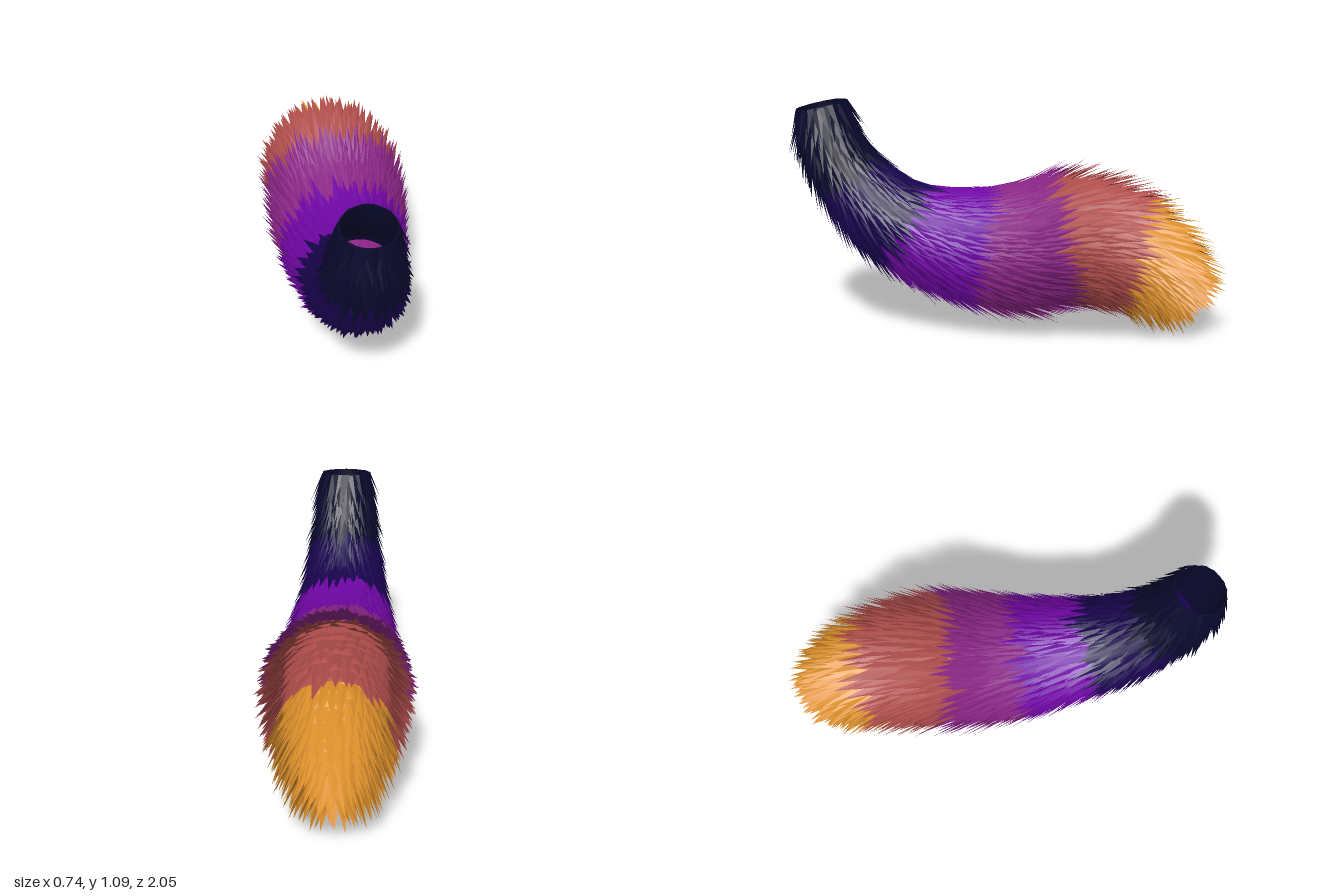
import * as THREE from 'three';

// Colour bands from the open root to the tip; end = fraction along the tail
const BANDS = [
  { name: 'navyRoot', end: 0.137, color: 0x07082b },
  { name: 'indigoBand', end: 0.295, color: 0x18034c },
  { name: 'purpleBand', end: 0.462, color: 0x7006a5 },
  { name: 'plumBand', end: 0.63, color: 0x8a2586 },
  { name: 'roseBand', end: 0.785, color: 0xae4d4b },
  { name: 'goldTip', end: 1, color: 0xda8e2a },
];

// Centre line: x holds the core radius, y and z the position
const SPINE = new THREE.CatmullRomCurve3([
  [0.115, 1.075, 0.882], [0.127, 0.95, 0.858], [0.145, 0.8, 0.795], [0.185, 0.57, 0.6],
  [0.235, 0.435, 0.3], [0.272, 0.405, 0], [0.27, 0.445, -0.28], [0.23, 0.41, -0.53],
  [0.175, 0.305, -0.7], [0.115, 0.225, -0.79], [0.0, 0.18, -0.835],
].map((p) => new THREE.Vector3(...p)));

const X = new THREE.Vector3(1, 0, 0);

// Centre, radius and frame at fraction u
function frameAt(u) {
  const p = SPINE.getPointAt(u);
  const t = SPINE.getTangentAt(u).setX(0).normalize();
  return {
    r: Math.max(p.x, 0),
    centre: new THREE.Vector3(0, p.y, p.z),
    t,
    n: new THREE.Vector3().crossVectors(t, X),
  };
}

const radial = (f, a) =>
  new THREE.Vector3().addScaledVector(X, Math.cos(a)).addScaledVector(f.n, Math.sin(a));

const onCore = (f, a) => f.centre.clone().addScaledVector(radial(f, a), f.r);

function makeRandom(seed) {
  return () => {
    seed = (seed * 1664525 + 1013904223) % 4294967296;
    return seed / 4294967296;
  };
}

function meshFrom(points, material, name) {
  const geometry = new THREE.BufferGeometry().setFromPoints(points);
  geometry.computeVertexNormals();
  const mesh = new THREE.Mesh(geometry, material);
  mesh.name = name;
  return mesh;
}

// Tube section under the fur
function corePoints(from, to) {
  const points = [];
  const rings = Math.max(4, Math.round((to - from) * 50));
  const sides = 32;
  for (let i = 0; i < rings; i++) {
    const f = frameAt(from + ((to - from) * i) / rings);
    const g = frameAt(from + ((to - from) * (i + 1)) / rings);
    for (let j = 0; j < sides; j++) {
      const a = (j / sides) * Math.PI * 2;
      const b = ((j + 1) / sides) * Math.PI * 2;
      const p = onCore(f, a), q = onCore(f, b), s = onCore(g, a), v = onCore(g, b);
      points.push(p, q, s, q, v, s);
    }
  }
  return points;
}

// One broad, flat pointed tuft leaning towards the tip
function tuft(f, a, random) {
  const out = radial(f, a);
  const side = new THREE.Vector3().crossVectors(f.t, out);
  const root = onCore(f, a);
  const width = 0.03;
  const length = (0.11 + 0.33 * f.r) * (0.85 + 0.3 * random());
  const lean = f.t.clone()
    .addScaledVector(out, 0.34 + 0.14 * random())
    .addScaledVector(side, (random() - 0.5) * 0.1)
    .normalize();
  const l = root.clone().addScaledVector(side, -width);
  const r = root.clone().addScaledVector(side, width);
  const ridge = root.clone().addScaledVector(out, 0.008);
  const tip = root.clone().addScaledVector(lean, length);
  return [l, ridge, tip, ridge, r, tip, r, l, tip, l, r, ridge];
}

export function createModel() {
  const tail = new THREE.Group();
  tail.name = 'furryTail';
  const random = makeRandom(7);

  // Staggered rows of tufts, sorted into their colour bands
  const fur = BANDS.map(() => []);
  const rows = 56;
  for (let i = 0; i < rows; i++) {
    const u = (i + 0.1) / rows;
    const count = Math.max(5, Math.round((frameAt(u).r * Math.PI * 2) / 0.036));
    for (let j = 0; j < count; j++) {
      const a = ((j + (i % 2) / 2 + (random() - 0.5) * 0.3) / count) * Math.PI * 2;
      const spot = THREE.MathUtils.clamp(u + (random() - 0.5) * 0.008, 0, 0.995);
      const band = BANDS.findIndex((b) => spot <= b.end);
      fur[band].push(...tuft(frameAt(spot), a, random));
    }
  }

  let start = 0;
  BANDS.forEach((band, i) => {
    const material = new THREE.MeshStandardMaterial({
      color: band.color, flatShading: true, side: THREE.DoubleSide,
    });
    material.name = band.name;
    tail.add(meshFrom(corePoints(start, band.end), material, band.name + 'Core'));
    tail.add(meshFrom(fur[i], material, band.name + 'Fur'));
    start = band.end;
  });

  // Centre and stand on the ground
  const box = new THREE.Box3().setFromObject(tail);
  const centre = box.getCenter(new THREE.Vector3());
  tail.position.set(-centre.x, -box.min.y, -centre.z);

  const model = new THREE.Group();
  model.name = 'tailModel';
  model.add(tail);
  return model;
}
